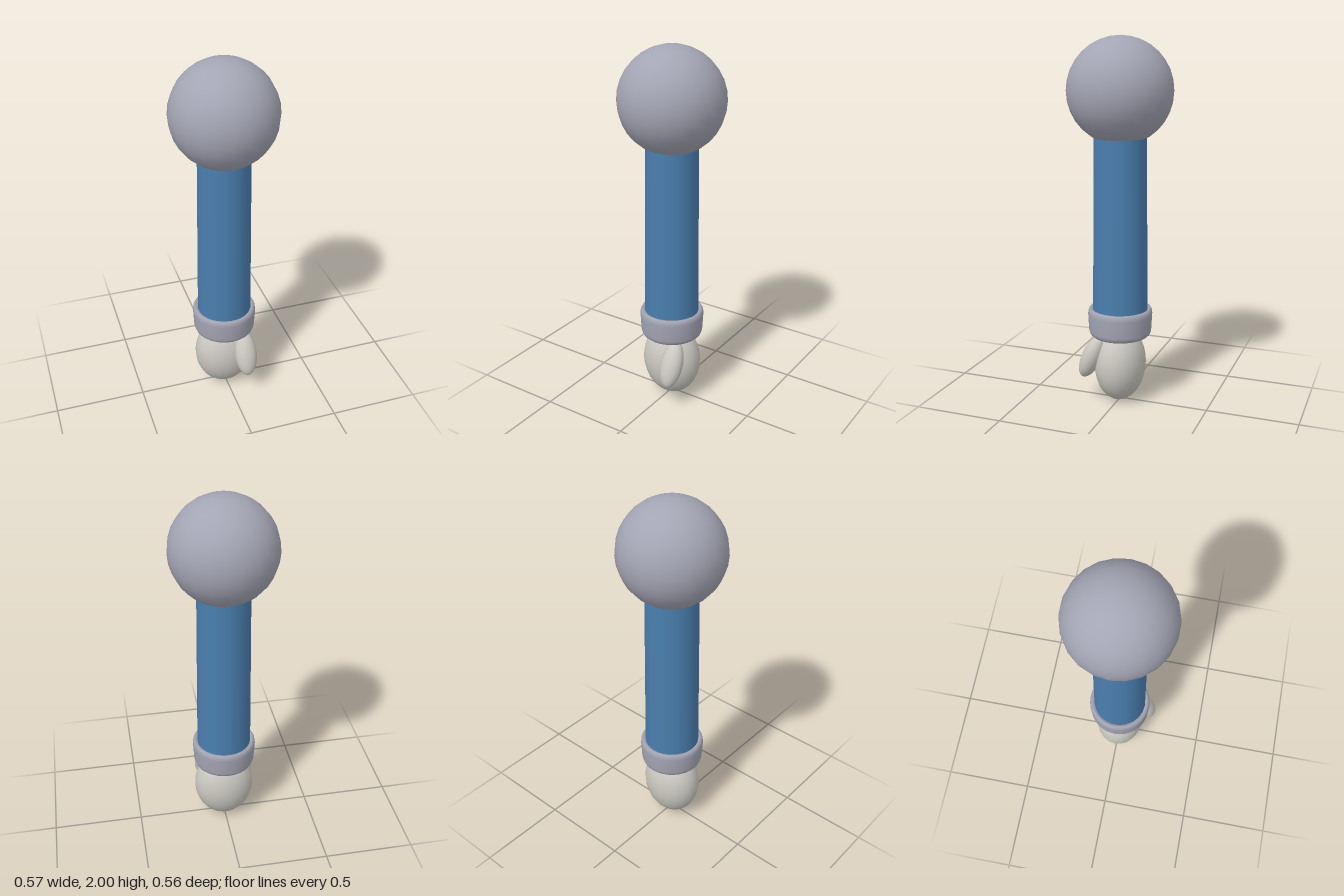
import * as THREE from 'three';

export function createModel() {
  const group = new THREE.Group();
  const grey = new THREE.MeshStandardMaterial({ color: 0xa4a5b4 });
  const blue = new THREE.MeshStandardMaterial({ color: 0x4a7eae });
  const bone = new THREE.MeshStandardMaterial({ color: 0xcac8c0 });
  grey.name = 'grey metal';
  blue.name = 'blue sleeve';
  bone.name = 'pale glove';

  const add = (name, geometry, material, x, y, z) => {
    const mesh = new THREE.Mesh(geometry, material);
    mesh.name = name;
    mesh.position.set(x, y, z);
    group.add(mesh);
    return mesh;
  };
  const ellipsoid = (name, material, [x, y, z], [rx, ry, rz], segments = 22) => {
    const mesh = add(name, new THREE.SphereGeometry(1, segments, 16), material, x, y, z);
    mesh.scale.set(rx, ry, rz);
    return mesh;
  };

  // Shoulder ball
  ellipsoid('shoulder', grey, [0, 1.717, 0], [0.283, 0.283, 0.283]);

  // Slightly flared sleeve
  add('sleeve', new THREE.CylinderGeometry(0.14, 0.151, 1.06, 22), blue, 0, 0.98, 0);

  // Cuff band with rounded rims
  const profile = [
    [0, 0.385], [0.13, 0.378], [0.155, 0.383], [0.166, 0.393], [0.172, 0.412],
    [0.177, 0.505], [0.175, 0.524], [0.168, 0.536], [0.158, 0.538], [0.145, 0.525],
  ].map(([r, y]) => new THREE.Vector2(r, y));
  add('cuff', new THREE.LatheGeometry(profile, 32), grey, 0, 0, 0);

  // Wrist dome under the cuff
  ellipsoid('wrist', grey, [0, 0.42, 0], [0.135, 0.062, 0.135]);

  // Mitten hand and thumb
  ellipsoid('hand', bone, [0, 0.216, 0], [0.17, 0.213, 0.14]);
  const thumb = ellipsoid('thumb', bone, [0.088, 0.262, 0.135], [0.064, 0.132, 0.056], 18);
  thumb.rotation.x = -0.42;

  return group;
}
